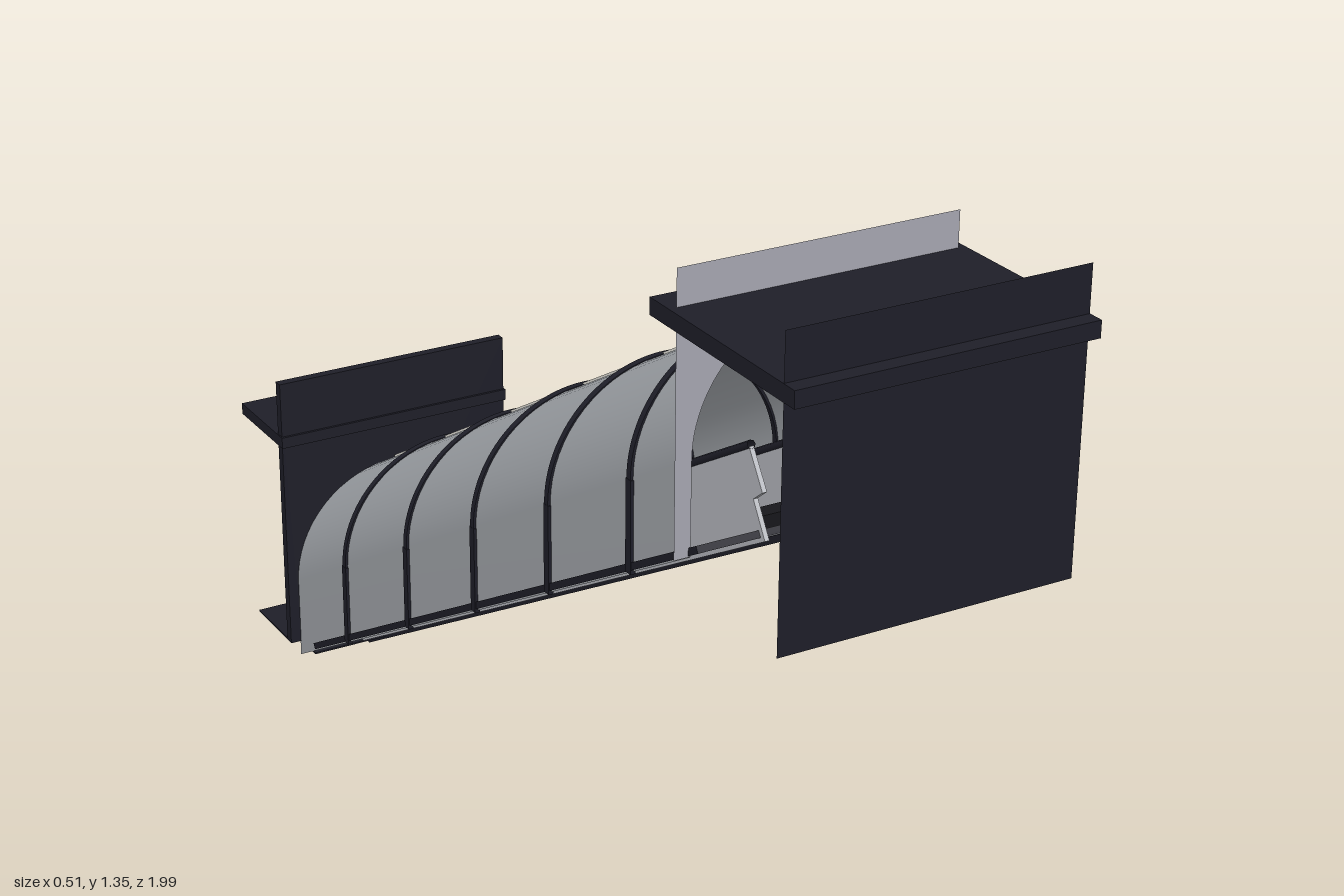
import * as THREE from 'three';

const mat = (name, color, side = THREE.FrontSide) => {
  const m = new THREE.MeshStandardMaterial({ color, side });
  m.name = name;
  return m;
};

const SLOPE = Math.tan(Math.PI / 6);
const R = 0.216, WALL = 0.16;                  // arch radius, wall height below the arch
const base = (z) => 0.868 - SLOPE * (0.66 - z); // foot of the tunnel wall

export function createModel() {
  const dark = mat('dark cladding', 0x1e1e28, THREE.DoubleSide);
  const black = mat('black steps', 0x17171b);
  const shellGrey = mat('shell grey', 0xa4a8ad, THREE.DoubleSide);
  const portalGrey = mat('portal grey', 0xa6a6b0, THREE.DoubleSide);
  const steel = mat('light steel', 0xb8bac0);
  const lamp = mat('pale light', 0xe6e4dc);

  const model = new THREE.Group();
  const add = (name, geo, material, x = 0, y = 0, z = 0) => {
    const m = new THREE.Mesh(geo, material);
    m.name = name;
    m.position.set(x, y, z);
    model.add(m);
    return m;
  };
  const box = (name, material, w, h, d, x, y, z) =>
    add(name, new THREE.BoxGeometry(w, h, d), material, x, y, z);

  // Sloping box whose centre line runs between two [z, y] points
  const beam = (name, material, w, h, [z0, y0], [z1, y1]) => {
    const dz = z1 - z0, dy = y1 - y0;
    const m = box(name, material, w, h, Math.hypot(dz, dy), 0, (y0 + y1) / 2, (z0 + z1) / 2);
    m.rotation.x = -Math.atan2(dy, dz);
  };

  // Arch outline, foot at y = foot, traced from the -x foot over the top
  const trace = (path, r, foot, spring) => {
    path.moveTo(-r, foot);
    path.lineTo(-r, spring);
    path.absarc(0, spring, r, Math.PI, 0, true);
    path.lineTo(r, foot);
    return path;
  };
  // Upright panel with an arched doorway cut from its bottom edge
  const portal = (hw, bottom, top, r, spring) => {
    const s = trace(new THREE.Shape(), r, bottom, spring);
    s.lineTo(hw, bottom);
    s.lineTo(hw, top);
    s.lineTo(-hw, top);
    s.lineTo(-hw, bottom);
    s.closePath();
    return s;
  };

  // Sheared tunnel shell: upright arch sections following the slope
  const N = 34, zLow = -0.81, zHigh = 0.664;
  const shell = new THREE.PlaneGeometry(1, 1, N, 1);
  const p = shell.attributes.position;
  for (let i = 0; i < p.count; i++) {
    const k = Math.round((p.getX(i) + 0.5) * N);
    const z = p.getY(i) > 0 ? zLow : zHigh;
    let x = k === 0 ? -R : R, y = 0;
    if (k > 0 && k < N) {
      const a = Math.PI * (1 - (k - 1) / (N - 2));
      x = R * Math.cos(a);
      y = WALL + R * Math.sin(a);
    }
    p.setXYZ(i, x, base(z) + y, z);
  }
  shell.computeVertexNormals();
  add('tunnelShell', shell, shellGrey);

  // Ribs around the shell, with slightly wider legs on the walls
  const ribShape = trace(new THREE.Shape(), R + 0.005, 0, WALL);
  ribShape.lineTo(R - 0.003, 0);
  ribShape.lineTo(R - 0.003, WALL);
  ribShape.absarc(0, WALL, R - 0.003, 0, Math.PI, false);
  ribShape.lineTo(-R + 0.003, 0);
  ribShape.closePath();
  const ribGeo = new THREE.ExtrudeGeometry(ribShape, { depth: 0.012, bevelEnabled: false, curveSegments: 32 });
  for (let i = 0; i < 5; i++) {
    const z = 0.487 - i * 0.2665;
    add('rib', ribGeo, dark, 0, base(z), z - 0.006);
    for (const s of [-1, 1])
      box('ribLeg', dark, 0.009, WALL, 0.016, s * (R + 0.001), base(z) + WALL / 2, z);
  }

  // Pale strip along the crown
  const crown = (z) => [z, base(z) + WALL + R + 0.002];
  beam('crownStrip', lamp, 0.012, 0.006, crown(-0.8), crown(0.65));

  // Sloping floor and the thin truss plate under the stair
  beam('floor', dark, 0.44, 0.012, [-0.735, base(-0.735) + 0.01], [0.69, base(0.69) + 0.01]);
  beam('truss', dark, 0.13, 0.012, [-0.823, 0.006], [0.707, 0.89]);

  // Stair treads
  const steps = 50, rise = (base(0.66) - base(-0.78)) / steps, run = 1.44 / steps;
  const stepGeo = new THREE.BoxGeometry(0.2, rise * 1.6, run);
  for (let i = 0; i < steps; i++) {
    const z = -0.78 + (i + 0.5) * run;
    add('step', stepGeo, black, 0, base(z) + 0.034, z);
  }

  // Balustrades with handrails; the outline is drawn as (-z, y) and turned upright
  const side = [[-0.955, 0.053], [-0.955, 0.155], [-0.82, 0.16], [0.655, 1.025],
    [0.695, 0.965], [0.67, 0.945], [0.705, 0.889], [-0.75, 0.049]];
  const balGeo = new THREE.ExtrudeGeometry(
    new THREE.Shape(side.map(([z, y]) => new THREE.Vector2(-z, y))), { depth: 0.008, bevelEnabled: false });
  balGeo.rotateY(Math.PI / 2);
  const rail = new THREE.CatmullRomCurve3(
    [[-0.97, 0.143], [-0.986, 0.145], [-0.986, 0.161], [-0.965, 0.166], [-0.9, 0.166], [-0.83, 0.167],
      [-0.76, 0.2], [-0.6, 0.292], [0, 0.644], [0.655, 1.028]].map(([z, y]) => new THREE.Vector3(0, y, z)));
  const railGeo = new THREE.TubeGeometry(rail, 120, 0.007, 8);
  for (const s of [-1, 1]) {
    add('balustrade', balGeo, steel, s * 0.107 - 0.004);
    add('handrail', railGeo, dark, s * 0.107);
    box('landingPost', steel, 0.022, 0.095, 0.016, s * 0.148, 0.1, -0.962);
  }

  // Lower entrance: arched panel, canopy with two lamps, landing
  add('lowerPortal', new THREE.ExtrudeGeometry(
    portal(0.237, 0.05, 0.6, R - 0.002, base(-0.81) + WALL),
    { depth: 0.018, bevelEnabled: false, curveSegments: 32 }), dark, 0, 0, -0.825);
  box('lowerCanopy', dark, 0.478, 0.022, 0.19, 0, 0.481, -0.897);
  box('landing', dark, 0.474, 0.003, 0.15, 0, 0.052, -0.887);
  box('innerLanding', dark, 0.43, 0.003, 0.07, 0, 0.052, -0.777);
  for (const s of [-1, 1])
    add('canopyLamp', new THREE.CylinderGeometry(0.011, 0.011, 0.004, 16), lamp, s * 0.11, 0.469, -0.9);

  // Upper entrance: arched panel, canopy and front screen
  add('upperPortal', new THREE.ShapeGeometry(
    portal(0.245, 0.872, 1.338, R, base(0.664) + WALL), 32), portalGrey, 0, 0, 0.665);
  box('upperCanopy', dark, 0.515, 0.028, 0.39, 0, 1.263, 0.805);
  add('frontScreen', new THREE.PlaneGeometry(0.514, 0.5), dark, 0, 1.105, 0.972);

  return model;
}
